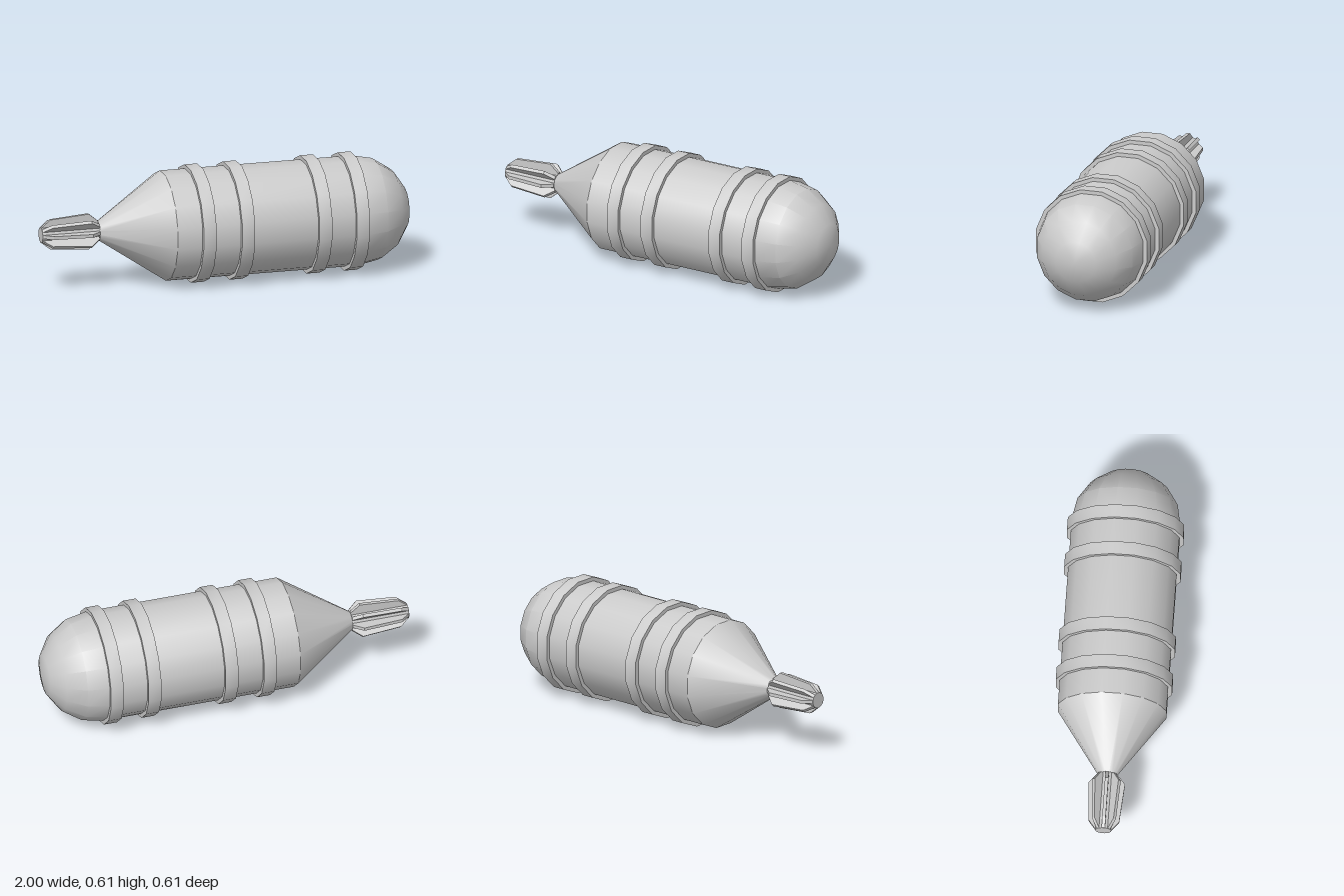
import * as THREE from 'three';
import { toCreasedNormals } from 'three/addons/utils/BufferGeometryUtils.js';

const SIDES = 16;
const AXIS_Y = 0.305;
const material = new THREE.MeshStandardMaterial({ color: 0xcccccc });

// Turned part along the x axis; profile is a list of [x, radius], tail to nose
function turned(name, profile, sides = SIDES) {
  const points = profile.map(([x, r]) => new THREE.Vector2(r, x));
  const geometry = new THREE.LatheGeometry(points, sides, Math.PI / sides);
  geometry.rotateZ(-Math.PI / 2);
  const mesh = new THREE.Mesh(toCreasedNormals(geometry, 0.5), material);
  mesh.name = name;
  return mesh;
}

export function createModel() {
  const model = new THREE.Group();
  model.name = 'bomb';
  const shell = new THREE.Group();
  shell.name = 'shell';
  shell.position.y = AXIS_Y;
  model.add(shell);

  // Body: tail cone, straight barrel and domed nose
  const R = 0.29;
  const profile = [[-0.69, 0.05], [-0.335, R]];
  for (let i = 0; i <= 4; i++) {
    const a = (i / 4) * Math.PI / 2;
    profile.push([0.705 + 0.295 * Math.sin(a), i === 4 ? 0 : R * Math.cos(a)]);
  }
  shell.add(turned('body', profile));

  // Raised bands around the barrel
  for (const x of [-0.165, 0.045, 0.465, 0.67]) {
    const h = 0.035;
    const r = 0.311;
    shell.add(turned('band', [[x - h, 0.28], [x - h, r], [x + h, r], [x + h, 0.28]]));
  }

  // Tail: core rod with eight chamfered fins
  const tail = new THREE.Group();
  tail.name = 'tail';
  shell.add(tail);
  tail.add(turned('tailCore', [[-1, 0], [-1, 0.042], [-0.67, 0.042]]));

  const t = 0.018;
  const outline = new THREE.Shape([
    [-1, 0], [-1, 0.04], [-0.95, 0.08], [-0.74, 0.096], [-0.69, 0.055], [-0.69, 0],
  ].map(([x, y]) => new THREE.Vector2(x, y)));
  const finGeometry = new THREE.ExtrudeGeometry(outline, { depth: t, bevelEnabled: false });
  finGeometry.translate(0, 0, -t / 2);
  for (let i = 0; i < 8; i++) {
    const fin = new THREE.Mesh(finGeometry, material);
    fin.name = 'fin';
    fin.rotation.x = i * Math.PI / 4;
    tail.add(fin);
  }
  return model;
}
